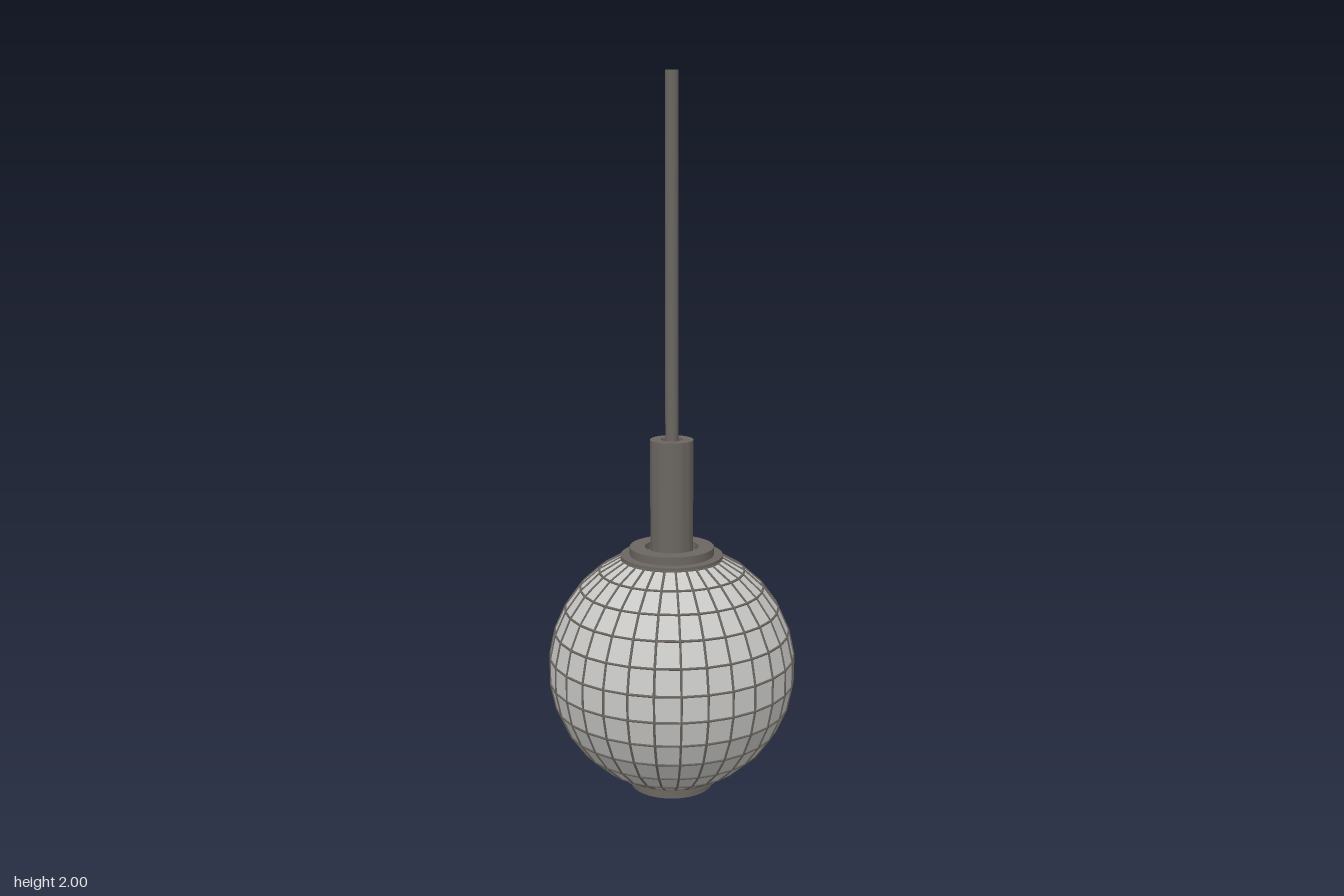
import * as THREE from 'three';
import { mergeGeometries, toCreasedNormals } from 'three/addons/utils/BufferGeometryUtils.js';

export function createModel() {
  const group = new THREE.Group();
  group.name = 'pendantLamp';

  const material = (name, color) => {
    const m = new THREE.MeshStandardMaterial({ color });
    m.name = name;
    return m;
  };
  const metal = material('dark metal', 0x6b6660);
  const glass = material('pale glass', 0xc8c8c6);

  const add = (name, geometry, mat) => {
    const mesh = new THREE.Mesh(geometry, mat);
    mesh.name = name;
    group.add(mesh);
  };
  // Lathe profiles run from bottom to top along the outside
  const lathe = (points) => toCreasedNormals(
    new THREE.LatheGeometry(points.map(([r, y]) => new THREE.Vector2(r, y)), 48), 0.6);

  // Faceted globe: 30 columns, 12 degree rows, open at both collars
  const R = 0.347, CY = 0.355, COLS = 30, STEP = Math.PI / 15;
  const FIRST = 2, LAST = 13;
  const globe = new THREE.SphereGeometry(R, COLS, LAST - FIRST, 0, Math.PI * 2,
    FIRST * STEP, (LAST - FIRST) * STEP).toNonIndexed();
  globe.computeVertexNormals();
  globe.translate(0, CY, 0);
  add('glassGlobe', globe, glass);

  // Leading along every edge between panes
  const corner = (row, col) => new THREE.Vector3().setFromSphericalCoords(
    R, row * STEP, Math.PI / 2 + col * STEP).add(new THREE.Vector3(0, CY, 0));
  const up = new THREE.Vector3(0, 1, 0);
  const bar = (a, b) => {
    const dir = b.clone().sub(a);
    const g = new THREE.CylinderGeometry(0.0035, 0.0035, dir.length(), 6, 1, true);
    g.applyQuaternion(new THREE.Quaternion().setFromUnitVectors(up, dir.normalize()));
    const mid = a.clone().add(b).multiplyScalar(0.5);
    return g.translate(mid.x, mid.y, mid.z);
  };
  const uprights = [], hoops = [];
  for (let col = 0; col < COLS; col++) {
    for (let row = FIRST; row <= LAST; row++) {
      if (row < LAST) uprights.push(bar(corner(row, col), corner(row + 1, col)));
      hoops.push(bar(corner(row, col), corner(row, col + 1)));
    }
  }
  add('uprightLeading', mergeGeometries(uprights), metal);
  add('hoopLeading', mergeGeometries(hoops), metal);

  // Stepped caps closing the globe
  add('bottomCap', lathe([[0, 0], [0.118, 0], [0.118, 0.028], [0.143, 0.028],
    [0.143, 0.04], [0, 0.04]]), metal);
  add('topCap', lathe([[0, 0.67], [0.143, 0.67], [0.143, 0.682], [0.118, 0.682],
    [0.118, 0.705], [0.075, 0.705], [0.075, 0.685], [0, 0.685]]), metal);

  // Hollow sleeve with the hanging rod rising out of it
  add('sleeve', lathe([[0.06, 0.685], [0.06, 1.01], [0.03, 1.01],
    [0.03, 0.96], [0, 0.96]]), metal);
  add('hangingRod', new THREE.CylinderGeometry(0.018, 0.018, 1.04, 32).translate(0, 1.48, 0), metal);

  return group;
}
